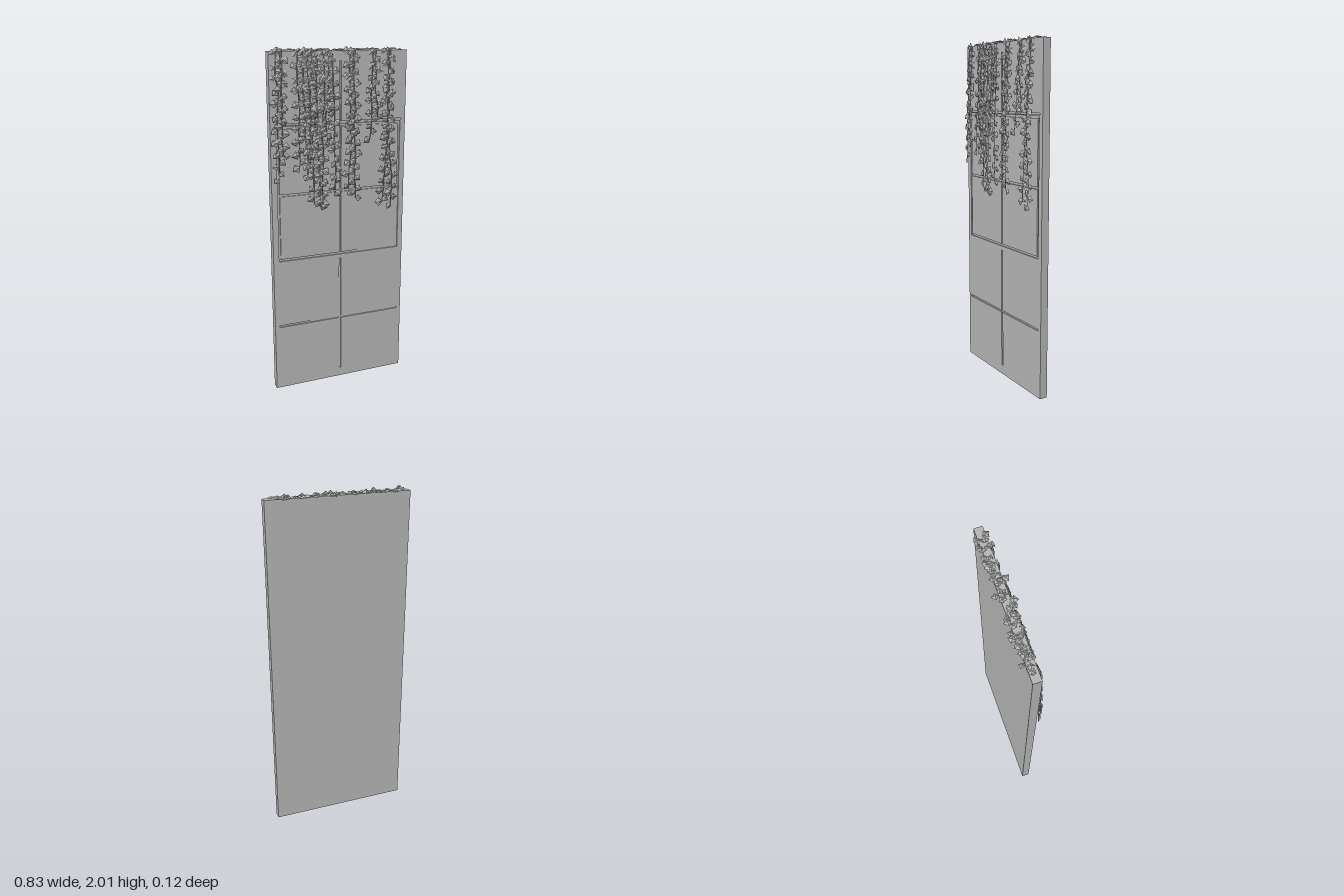
import * as THREE from 'three';
import { mergeGeometries } from 'three/addons/utils/BufferGeometryUtils.js';

const stone = new THREE.MeshStandardMaterial({ color: 0xb4b4b4, flatShading: true, side: THREE.DoubleSide });
stone.name = 'plain grey';

// Small seeded generator for the foliage
let seed = 7;
const rnd = () => (seed = (seed * 16807) % 2147483647) / 2147483647;
const spread = (a) => (rnd() - 0.5) * 2 * a;

const rectPoints = (x0, x1, y0, y1) =>
  [[x0, y0], [x1, y0], [x1, y1], [x0, y1]].map(([x, y]) => new THREE.Vector2(x, y));

function add(group, name, geometry) {
  const mesh = new THREE.Mesh(geometry, stone);
  mesh.name = name;
  group.add(mesh);
}

function box(x0, x1, y0, y1, z0, z1) {
  const g = new THREE.BoxGeometry(x1 - x0, y1 - y0, z1 - z0);
  return g.translate((x0 + x1) / 2, (y0 + y1) / 2, (z0 + z1) / 2);
}

// Folded kite leaf: stalk end at the origin, tip along -y, ridge towards +z
function leaf(size) {
  const p = [[0, 0, 0], [-0.5, -0.42, -0.08], [0, -1, -0.05], [0.5, -0.42, -0.08], [0, -0.4, 0.14]];
  const g = new THREE.BufferGeometry();
  g.setAttribute('position', new THREE.Float32BufferAttribute(p.flat().map((v) => v * size), 3));
  g.setIndex([0, 1, 4, 1, 2, 4, 2, 3, 4, 3, 0, 4]);
  const flat = g.toNonIndexed();
  flat.computeVertexNormals();
  return flat;
}

// Hanging vine: thin stem with leaves on alternating sides
function vine(x, bottom, drift) {
  const top = 1.985;
  const length = top - bottom;
  const points = [];
  for (let i = 0; i <= 6; i++) {
    const t = i / 6;
    points.push(new THREE.Vector3(
      x + drift * t + (i ? spread(0.008) : 0),
      top - length * t,
      0.032 + 0.022 * Math.min(1, length * t / 0.5)));
  }
  const curve = new THREE.CatmullRomCurve3(points);
  const stem = new THREE.TubeGeometry(curve, 18, 0.002, 4);
  const leaves = [];
  const count = Math.round(length / 0.034);
  for (let i = 0; i <= count; i++) {
    const p = curve.getPointAt(i / count);
    const side = i % 2 ? 1 : -1;
    const g = leaf(0.036 + rnd() * 0.016);
    g.rotateY(spread(0.3)).rotateX(spread(0.12)).rotateZ(side * (0.5 + rnd() * 1.1));
    leaves.push(g.translate(p.x, p.y, p.z));
  }
  return { stem, leaves: mergeGeometries(leaves) };
}

export function createModel() {
  const model = new THREE.Group();
  const L = -0.412, R = 0.416, H = 1.985;
  const back = -0.019, floor = 0.019, front = 0.027, w = 0.006, cx = 0.003;

  // Slab behind the grooved face
  add(model, 'wallSlab', box(L, R, 0, H, back, floor));

  // Front face with grooves cut out
  const face = new THREE.Shape(rectPoints(L, R, 0, H));
  const holes = [
    // lower cross
    [[-0.385, 0.394], [cx - w, 0.394], [cx - w, 0.055], [cx + w, 0.055], [cx + w, 0.394], [0.39, 0.394],
      [0.39, 0.406], [cx + w, 0.406], [cx + w, 0.78], [cx - w, 0.78], [cx - w, 0.406], [-0.385, 0.406]],
    // upper upright with crossbar
    [[-0.385, 1.588], [0.39, 1.588], [0.39, 1.597], [cx + w, 1.597],
      [cx + w, 1.93], [cx - w, 1.93], [cx - w, 1.597], [-0.385, 1.597]],
  ].map((pts) => pts.map(([x, y]) => new THREE.Vector2(x, y)));
  holes.push(rectPoints(-0.378, 0.384, 0.805, 1.582));
  for (const h of holes) face.holes.push(new THREE.Path(h));
  const faceGeometry = new THREE.ExtrudeGeometry(face, { depth: front - floor, bevelEnabled: false });
  add(model, 'groovedFace', faceGeometry.translate(0, 0, floor));

  // Four middle panels bounded by the grooves
  for (const [x0, x1] of [[-0.366, cx - w], [cx + w, 0.372]]) {
    for (const [y0, y1] of [[0.818, 1.189], [1.201, 1.57]]) {
      add(model, 'middlePanel', box(x0, x1, y0, y1, floor - 0.002, front));
    }
  }

  // Hanging vines: x, lowest y, sideways drift
  const vines = [
    [-0.37, 1.3, -0.005], [-0.34, 1.42, -0.01], [-0.35, 1.62, 0.0],
    [-0.25, 1.36, -0.005], [-0.22, 1.31, 0.01], [-0.19, 1.14, 0.02],
    [-0.17, 1.38, -0.02], [-0.15, 1.12, 0.02], [-0.14, 1.55, -0.02],
    [-0.1, 1.13, -0.02], [-0.05, 1.2, 0.01], [-0.07, 1.5, -0.02],
    [0.06, 1.2, -0.01], [0.08, 1.15, 0.005], [0.09, 1.5, -0.02],
    [0.2, 1.5, -0.02], [0.22, 1.62, 0.0],
    [0.31, 1.11, -0.04], [0.29, 1.1, 0.03], [0.3, 1.5, -0.02],
  ];
  for (const v of vines) {
    const { stem, leaves } = vine(...v);
    const group = new THREE.Group();
    group.name = 'hangingVine';
    add(group, 'vineStem', stem);
    add(group, 'vineLeaves', leaves);
    model.add(group);
  }

  // Leaves lying along the top edge
  const topLeaves = [];
  for (let i = 0; i < 72; i++) {
    const g = leaf(0.03 + rnd() * 0.014);
    g.rotateX(-Math.PI / 2 + spread(0.12)).rotateY(rnd() * Math.PI * 2);
    const x = i === 0 ? 0.385 : -0.37 + 0.72 * ((i + rnd()) / 72);
    const z = Math.max(-0.03, -0.03 + rnd() * 0.055);
    topLeaves.push(g.translate(x, H + 0.003 + rnd() * 0.004, z));
  }
  add(model, 'topLeaves', mergeGeometries(topLeaves));

  return model;
}
